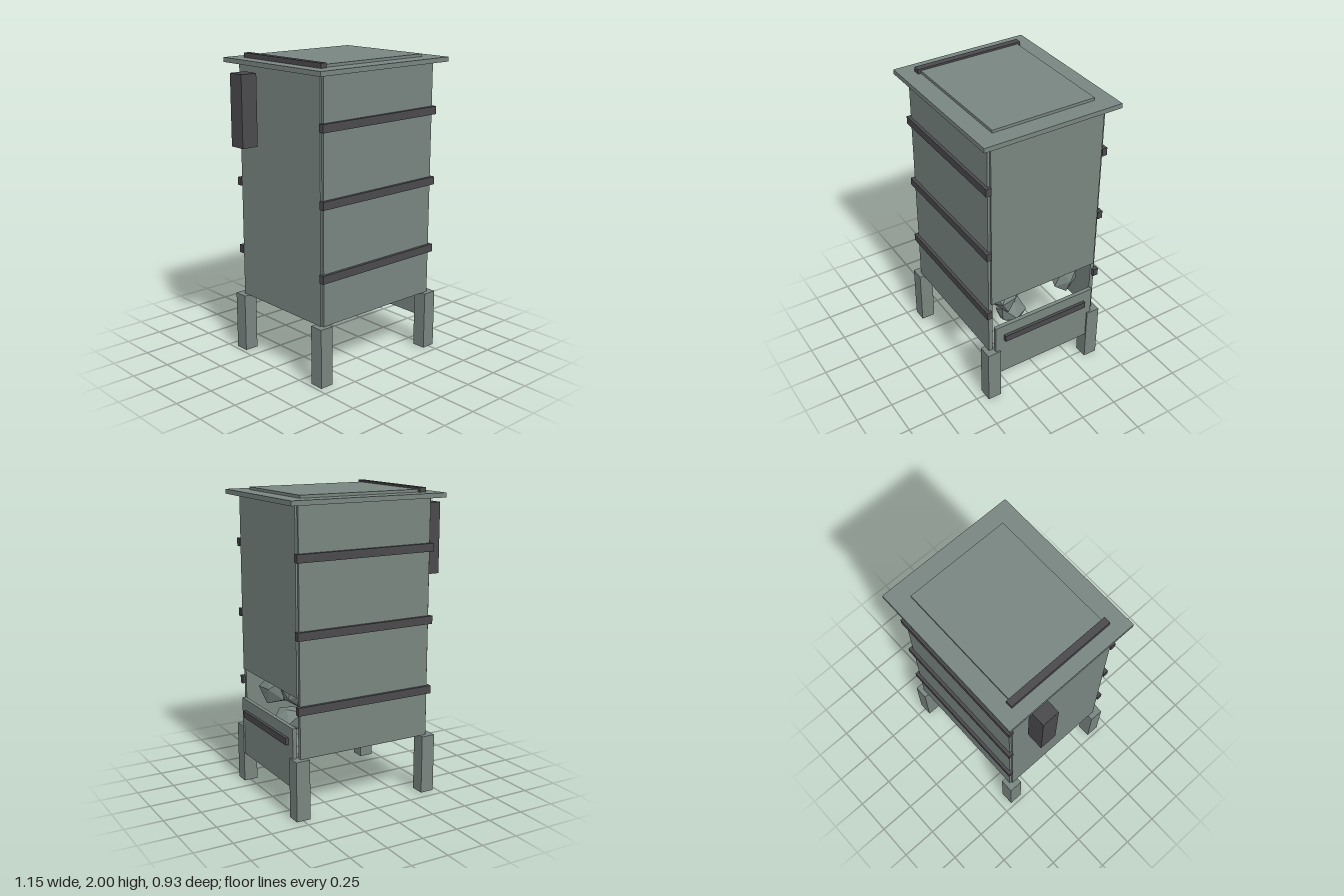
import * as THREE from 'three';

export function createModel() {
  const model = new THREE.Group();
  model.name = 'hopperBin';

  const body = new THREE.MeshStandardMaterial({ color: 0x788580, flatShading: true });
  body.name = 'greyGreenPaint';
  const trim = new THREE.MeshStandardMaterial({ color: 0x4a494c, flatShading: true });
  trim.name = 'darkMetal';

  // Box given by its extents along each axis
  function box(name, material, [x0, x1], [y0, y1], [z0, z1]) {
    const mesh = new THREE.Mesh(new THREE.BoxGeometry(x1 - x0, y1 - y0, z1 - z0), material);
    mesh.position.set((x0 + x1) / 2, (y0 + y1) / 2, (z0 + z1) / 2);
    mesh.name = name;
    model.add(mesh);
  }

  // Hollow body, open underneath, with a gap above the drawer front
  box('leftSideWall', body, [-0.437, -0.42], [0.39, 1.94], [-0.387, 0.387]);
  box('rightSideWall', body, [0.495, 0.513], [0.78, 1.94], [-0.387, 0.387]);
  box('frontWall', body, [-0.425, 0.5], [0.39, 1.94], [0.375, 0.403]);
  box('backWall', body, [-0.425, 0.5], [0.39, 1.94], [-0.403, -0.375]);

  // Roof, lid panel and hinge bar
  box('roof', body, [-0.5, 0.575], [1.94, 1.97], [-0.465, 0.465]);
  box('lidPanel', body, [-0.38, 0.46], [1.97, 1.988], [-0.35, 0.345]);
  box('hingeBar', trim, [-0.41, -0.365], [1.97, 2], [-0.37, 0.365]);

  // Bands on the front and back
  for (const y of [0.702, 1.165, 1.63]) {
    box('frontBand', trim, [-0.445, 0.52], [y - 0.026, y + 0.026], [0.388, 0.423]);
    box('backBand', trim, [-0.445, 0.52], [y - 0.026, y + 0.026], [-0.423, -0.388]);
  }

  // Legs
  for (const x of [-0.427, 0.498]) {
    for (const z of [-0.387, 0.387]) {
      box('leg', body, [x - 0.047, x + 0.047], [0, 0.39], [z - 0.047, z + 0.047]);
    }
  }

  // Drawer front, handle and the box hung beside the body
  box('drawerFront', body, [0.508, 0.535], [0.195, 0.585], [-0.37, 0.37]);
  box('drawerHandle', trim, [0.535, 0.555], [0.465, 0.51], [-0.31, 0.31]);
  box('sideBox', trim, [-0.58, -0.465], [1.435, 1.895], [-0.29, -0.175]);

  // Faceted rocks: x, y, z, radius
  const rocks = [
    [0.36, 0.68, 0.21, 0.11], [0.3, 0.69, 0.04, 0.105], [0.36, 0.63, -0.27, 0.1],
    [0.2, 0.79, -0.1, 0.11], [0.2, 0.68, 0.29, 0.08], [0.15, 0.77, 0.14, 0.09],
    [0.3, 0.47, 0.13, 0.1], [-0.05, 0.5, 0.05, 0.11], [-0.05, 0.54, -0.2, 0.1],
    [-0.24, 0.62, -0.22, 0.1], [0.1, 0.56, 0.24, 0.09], [-0.1, 0.8, 0.05, 0.11],
    [-0.2, 0.78, 0.24, 0.1], [0.02, 0.82, -0.25, 0.1],
  ];
  const pile = new THREE.Group();
  pile.name = 'rockPile';
  rocks.forEach(([x, y, z, r], i) => {
    const geometry = new THREE.IcosahedronGeometry(r, 0);
    const p = geometry.attributes.position;
    const v = new THREE.Vector3();
    // Shared corners get the same offset, so the rock stays closed
    for (let k = 0; k < p.count; k++) {
      v.fromBufferAttribute(p, k);
      const n = Math.sin(Math.round(v.x / r * 50) * 1.7 + Math.round(v.y / r * 50) * 2.3 + Math.round(v.z / r * 50) * 3.1 + i * 4.7);
      v.multiplyScalar(1 + 0.17 * n);
      p.setXYZ(k, v.x, v.y, v.z);
    }
    geometry.computeVertexNormals();
    const rock = new THREE.Mesh(geometry, body);
    rock.name = 'rock';
    rock.position.set(x, y, z);
    rock.rotation.set(i * 1.3, i * 2.1, i * 0.7);
    pile.add(rock);
  });
  model.add(pile);

  return model;
}
